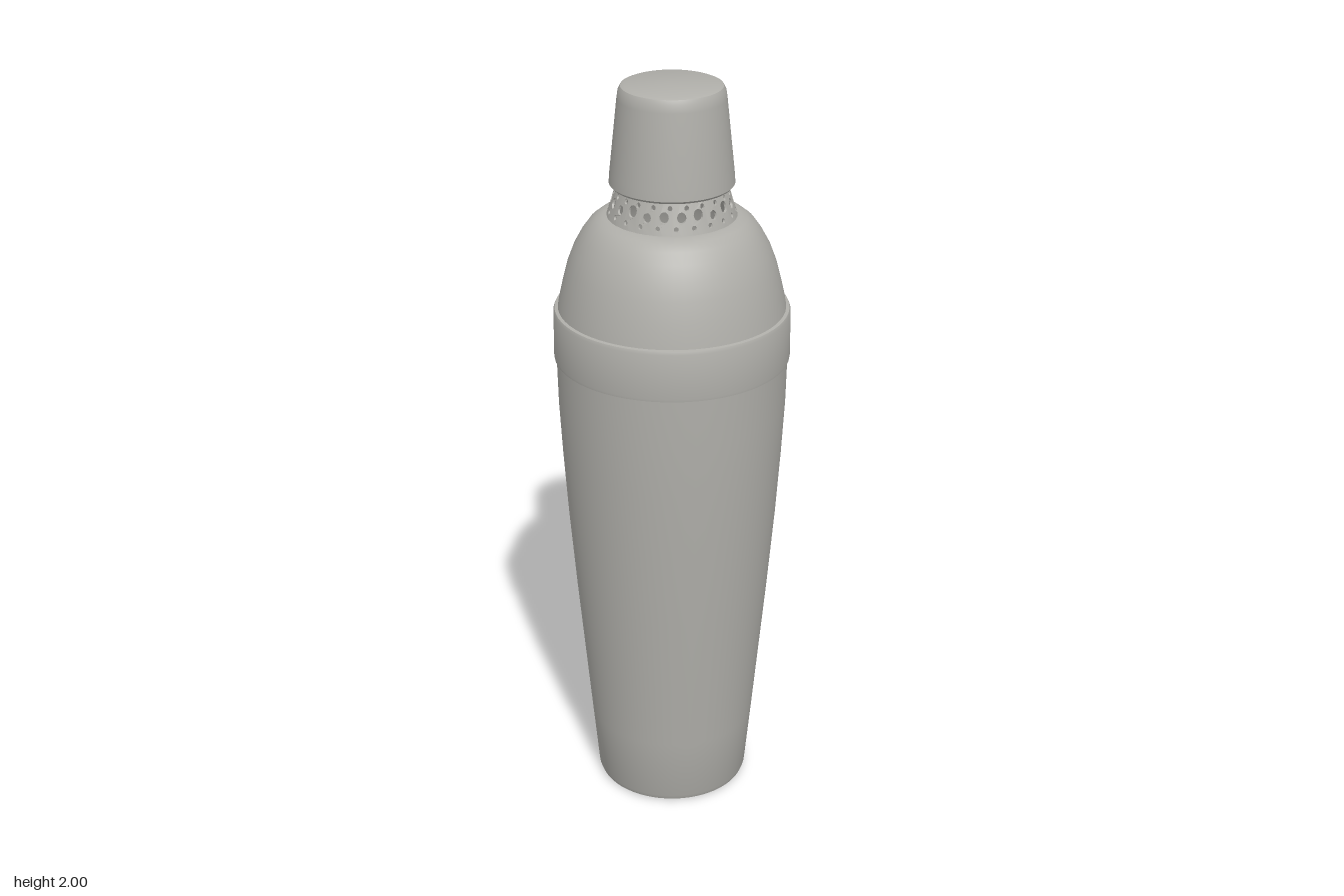
import * as THREE from 'three';
import { mergeGeometries, toCreasedNormals } from 'three/addons/utils/BufferGeometryUtils.js';

const steel = new THREE.MeshStandardMaterial({ color: 0xb0afaa, side: THREE.DoubleSide });
steel.name = 'brushed steel';

// Turned part from [radius, height] pairs
function turned(name, profile) {
  const geo = new THREE.LatheGeometry(profile.map(([r, y]) => new THREE.Vector2(r, y)), 64);
  const mesh = new THREE.Mesh(toCreasedNormals(geo, 0.6), steel);
  mesh.name = name;
  return mesh;
}

// Perforated conical collar, made of pierced tiles bent around the axis
function strainer() {
  const tiles = 22, y0 = 1.655, h = 0.095, rBottom = 0.168, rTop = 0.138;
  const w = (2 * Math.PI * 0.152) / tiles;
  const parts = [];
  for (let i = 0; i < tiles; i++) {
    const wobble = Math.sin(i * 2.4);
    const shape = new THREE.Shape();
    shape.moveTo(0, 0);
    shape.lineTo(w / 2, 0);
    shape.lineTo(w, 0);
    shape.lineTo(w, h);
    shape.lineTo(w / 2, h);
    shape.lineTo(0, h);
    shape.closePath();
    // One large and two small holes per tile
    const holes = [
      [0.5, 0.52 + 0.05 * wobble, 0.0115 + 0.0015 * wobble],
      [0.17, 0.24, 0.0055],
      [0.83, 0.75, 0.006],
    ];
    for (const [u, v, r] of holes) {
      const hole = new THREE.Path();
      hole.absellipse(u * w, v * h, r, r * 1.15, 0, Math.PI * 2, true);
      shape.holes.push(hole);
    }
    const geo = new THREE.ExtrudeGeometry(shape, { depth: 0.006, bevelEnabled: false, curveSegments: 8 });
    const p = geo.attributes.position;
    for (let k = 0; k < p.count; k++) {
      const v = p.getY(k) / h;
      const a = ((i + p.getX(k) / w) / tiles) * Math.PI * 2;
      const r = rBottom + (rTop - rBottom) * v + p.getZ(k) - 0.006;
      p.setXYZ(k, Math.sin(a) * r, y0 + v * h, Math.cos(a) * r);
    }
    parts.push(geo);
  }
  const mesh = new THREE.Mesh(toCreasedNormals(mergeGeometries(parts), 0.6), steel);
  mesh.name = 'strainer';
  return mesh;
}

export function createModel() {
  const group = new THREE.Group();
  group.name = 'cocktailShaker';
  group.add(
    // Tapered cup with a rounded foot
    turned('cup', [[0, 0], [0.192, 0], [0.202, 0.005], [0.207, 0.018], [0.224, 0.2], [0.242, 0.4],
      [0.26, 0.6], [0.278, 0.82], [0.29, 1.0], [0.298, 1.15], [0.301, 1.285]]),
    // Straight collar where lid and cup overlap
    turned('lidBand', [[0.3, 1.278], [0.306, 1.278], [0.307, 1.285], [0.306, 1.405], [0.303, 1.413], [0.29, 1.415]]),
    // Domed shoulder
    turned('shoulder', [[0.295, 1.41], [0.29, 1.44], [0.281, 1.48], [0.268, 1.53], [0.251, 1.575],
      [0.232, 1.61], [0.212, 1.638], [0.192, 1.654], [0.175, 1.661], [0.162, 1.662]]),
    strainer(),
    // Tapered cap with a small rounded top edge
    turned('cap', [[0.13, 1.745], [0.154, 1.742], [0.159, 1.748], [0.157, 1.775], [0.148, 1.86], [0.137, 1.965],
      [0.134, 1.985], [0.128, 1.996], [0.118, 2], [0, 2]]),
  );
  return group;
}
